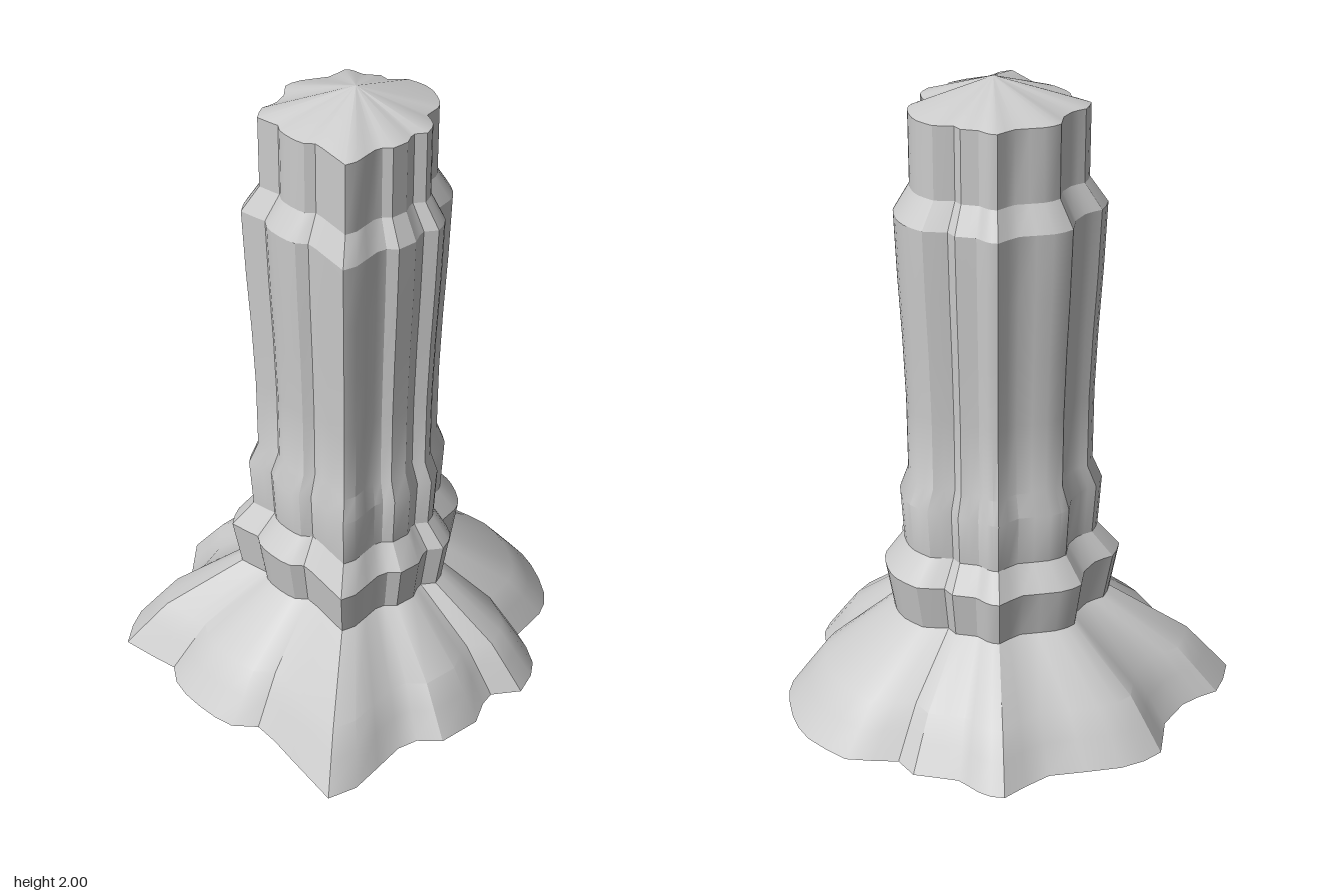
import * as THREE from 'three';
import { toCreasedNormals } from 'three/addons/utils/BufferGeometryUtils.js';

// Fluted outline around the tower axis as [x, z], at the foot of the skirt
const OUTLINE = [
  [0, -0.694], [0.04, -0.686], [0.075, -0.663], [0.107, -0.628], [0.134, -0.6], [0.2, -0.582], [0.268, -0.564],
  [0.312, -0.493], [0.39, -0.486], [0.473, -0.473], [0.535, -0.417], [0.588, -0.359], [0.62, -0.298], [0.639, -0.237],
  [0.652, -0.16], [0.655, -0.087], [0.645, -0.03], [0.619, 0.02], [0.529, 0.114], [0.545, 0.18], [0.552, 0.256],
  [0.535, 0.316], [0.489, 0.387], [0.391, 0.391], [0.359, 0.43], [0.323, 0.509], [0.205, 0.584], [0.126, 0.572],
  [0.063, 0.6], [-0.01, 0.675], [-0.087, 0.753], [-0.178, 0.789], [-0.27, 0.61], [-0.315, 0.52], [-0.359, 0.45],
  [-0.442, 0.434], [-0.49, 0.39], [-0.536, 0.331], [-0.575, 0.27], [-0.6, 0.209], [-0.604, 0.138], [-0.66, 0.085],
  [-0.746, -0.004], [-0.725, -0.085], [-0.694, -0.154], [-0.635, -0.185], [-0.58, -0.225], [-0.513, -0.327],
  [-0.5, -0.4], [-0.485, -0.481], [-0.43, -0.525], [-0.359, -0.556], [-0.25, -0.573], [-0.138, -0.588], [-0.065, -0.64],
];

// Each part is a stack of [height, outline scale]; scale 0 is the apex
const PARTS = {
  flaredSkirt: [[0, 1], [0.08, 0.905], [0.15, 0.82], [0.31, 0.485]],
  collar: [[0.31, 0.485], [0.46, 0.523], [0.54, 0.43]],
  shaft: [[0.54, 0.43], [0.7, 0.445], [0.77, 0.405], [1.0, 0.408], [1.2, 0.42], [1.4, 0.437], [1.61, 0.45]],
  shoulder: [[1.61, 0.45], [1.69, 0.376]],
  neck: [[1.69, 0.376], [1.915, 0.378]],
  pointedCap: [[1.915, 0.378], [2, 0]],
};

// Skin between scaled copies of the outline
function loft(levels) {
  const n = OUTLINE.length, pos = [], index = [];
  for (const [y, s] of levels) {
    for (const [x, z] of OUTLINE) pos.push(x * s, y, z * s);
  }
  for (let k = 0; k < levels.length - 1; k++) {
    for (let i = 0; i < n; i++) {
      const a = k * n + i, b = k * n + (i + 1) % n;
      index.push(b, a, a + n);
      if (levels[k + 1][1] > 0) index.push(b, a + n, b + n);
    }
  }
  const geo = new THREE.BufferGeometry();
  geo.setAttribute('position', new THREE.Float32BufferAttribute(pos, 3));
  geo.setIndex(index);
  return toCreasedNormals(geo, 0.5);
}

export function createModel() {
  const stone = new THREE.MeshStandardMaterial({ color: 0xcccccc, side: THREE.DoubleSide });
  stone.name = 'pale grey stone';
  const tower = new THREE.Group();
  tower.name = 'flutedTower';
  for (const [name, levels] of Object.entries(PARTS)) {
    const mesh = new THREE.Mesh(loft(levels), stone);
    mesh.name = name;
    // The tower axis sits slightly off the centre of the skirt
    mesh.position.set(0.043, 0, -0.05);
    tower.add(mesh);
  }
  return tower;
}
